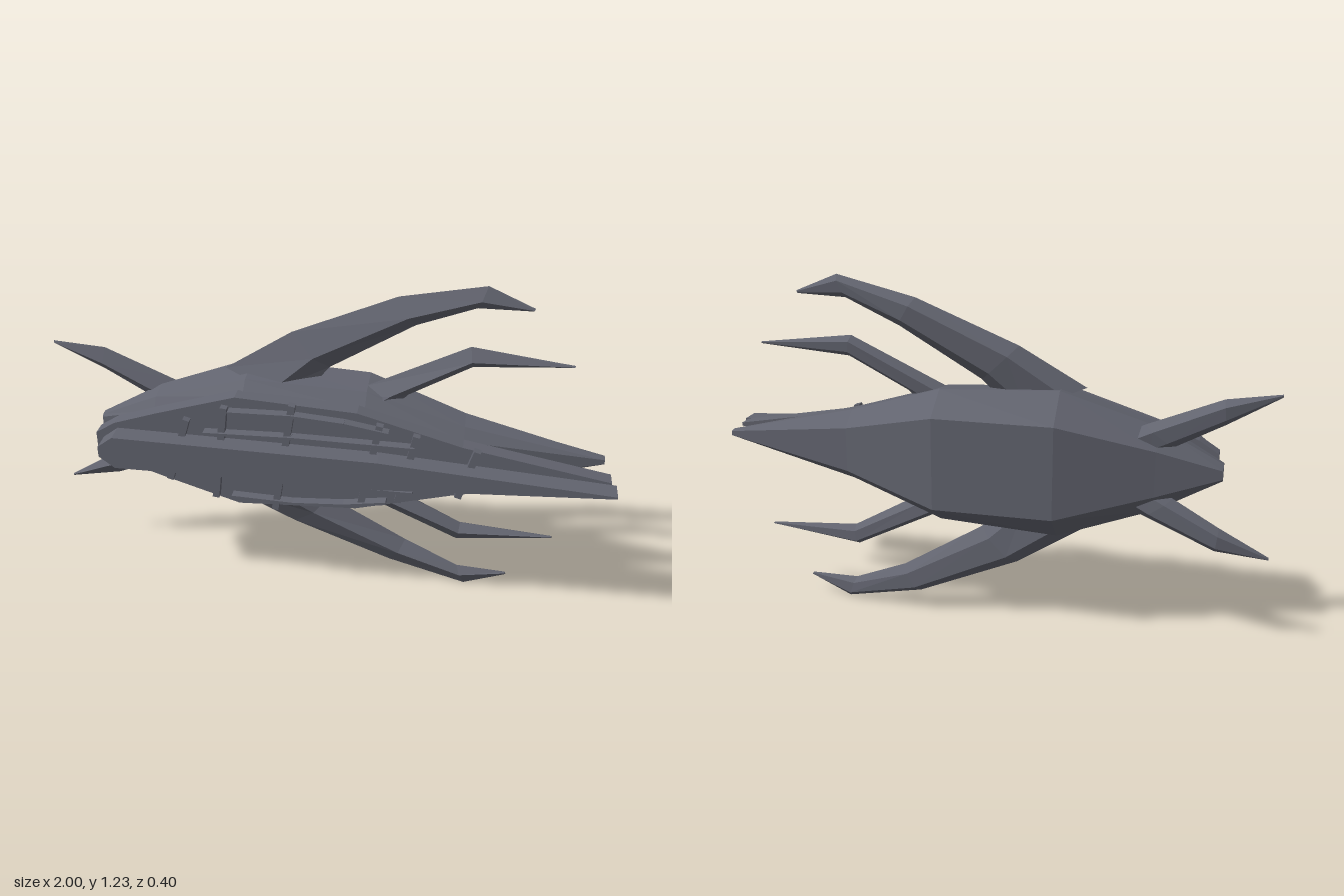
import * as THREE from 'three';

const CY = 0.6125; // height of the long axis

// Flat-shaded loft through closed loops of [x, y, z], capped at both ends
function loft(loops) {
  const tris = [];
  const n = loops[0].length;
  for (let i = 0; i < loops.length - 1; i++) {
    for (let j = 0; j < n; j++) {
      const k = (j + 1) % n;
      const a = loops[i][j], b = loops[i][k], c = loops[i + 1][k], d = loops[i + 1][j];
      tris.push([a, b, c], [a, c, d]);
    }
  }
  const first = loops[0], last = loops[loops.length - 1];
  for (let j = 1; j < n - 1; j++) {
    tris.push([first[0], first[j + 1], first[j]], [last[0], last[j], last[j + 1]]);
  }
  // turn all faces outwards if the enclosed volume is negative
  const o = new THREE.Vector3(...first[0]);
  const v = (p) => new THREE.Vector3(...p).sub(o);
  let volume = 0;
  for (const [a, b, c] of tris) volume += v(a).dot(v(b).cross(v(c)));
  if (volume < 0) tris.forEach((t) => t.reverse());
  const geo = new THREE.BufferGeometry();
  geo.setAttribute('position', new THREE.Float32BufferAttribute(tris.flat(2), 3));
  geo.computeVertexNormals();
  return geo;
}

// Hull: x, back z, back half height, widest z, widest half height, front z, front half height
const HULL = [
  [-0.83, -0.06, 0.015, -0.03, 0.03, 0.0, 0.02],
  [-0.61, -0.11, 0.08, -0.05, 0.15, 0.06, 0.1],
  [-0.28, -0.195, 0.165, -0.09, 0.262, 0.09, 0.205],
  [0.14, -0.2, 0.165, -0.09, 0.24, 0.07, 0.18],
  [0.48, -0.12, 0.08, -0.05, 0.13, 0.06, 0.08],
  [0.965, -0.045, 0.008, -0.03, 0.012, -0.015, 0.008],
];

function hullGeometry() {
  return loft(HULL.map(([x, zb, hb, zm, hw, zf, hf]) => {
    const half = [[zb, hb], [zm, hw], [zm + (zf - zm) * 0.72, hw * 0.94], [zf, hf]];
    const upper = half.map(([z, h]) => [x, CY + h, z]);
    const lower = half.map(([z, h]) => [x, CY - h, z]).reverse();
    return [...upper, ...lower];
  }));
}

// Fins: outer x, y, inner x, y, front z, back z
const FINS = {
  longFin: [
    [-0.36, 0.87, -0.08, 0.79, 0.045, -0.07],
    [-0.13, 1.01, 0.0, 0.885, 0.0, -0.09],
    [0.23, 1.16, 0.29, 1.06, -0.02, -0.1],
    [0.52, 1.225, 0.49, 1.145, -0.02, -0.065],
    [0.675, 1.16, 0.67, 1.15, -0.03, -0.04],
  ],
  shortFin: [
    [0.05, 0.8, 0.22, 0.76, 0.04, -0.05],
    [0.13, 0.84, 0.28, 0.82, 0.03, -0.055],
    [0.48, 1.01, 0.49, 0.935, 0.0, -0.06],
    [0.825, 0.967, 0.822, 0.96, -0.025, -0.035],
  ],
  tailFin: [
    [-0.5, 0.74, -0.62, 0.68, -0.03, -0.1],
    [-0.57, 0.775, -0.67, 0.705, -0.035, -0.105],
    [-0.82, 0.88, -0.83, 0.795, -0.045, -0.105],
    [-1.0, 0.903, -1.0, 0.893, -0.05, -0.06],
  ],
};

function finGeometry(stations, side) {
  return loft(stations.map(([ox, oy, ix, iy, zf, zb]) => {
    const at = (t, s) => {
      const y = oy + (iy - oy) * t;
      return [ox + (ix - ox) * t, CY + side * (y - CY), zb + (zf - zb) * s];
    };
    return [at(0, 0.5), at(0.6, 1), at(1, 0.5), at(0.75, 0.05), at(0.25, 0)];
  }));
}

// Flat plate, mirrored about the long axis, from [x, half height] points
function plateGeometry(outline, z0, z1) {
  const pts = [
    ...outline.map(([x, h]) => new THREE.Vector2(x, CY - h)),
    ...outline.map(([x, h]) => new THREE.Vector2(x, CY + h)).reverse(),
  ];
  const geo = new THREE.ExtrudeGeometry(new THREE.Shape(pts), { depth: z1 - z0, bevelEnabled: false });
  return geo.translate(0, 0, z0);
}

// Straight bar between two points in the xy plane
function barGeometry([x0, y0], [x1, y1], width, z0, z1) {
  const geo = new THREE.BoxGeometry(Math.hypot(x1 - x0, y1 - y0), width, z1 - z0);
  geo.rotateZ(Math.atan2(y1 - y0, x1 - x0));
  return geo.translate((x0 + x1) / 2, (y0 + y1) / 2, (z0 + z1) / 2);
}

export function createModel() {
  const model = new THREE.Group();
  const slate = new THREE.MeshStandardMaterial({ color: 0x62646f, flatShading: true });
  slate.name = 'slateGrey';
  const add = (name, geo) => {
    const mesh = new THREE.Mesh(geo, slate);
    mesh.name = name;
    model.add(mesh);
  };

  add('hull', hullGeometry());

  // three pairs of swept fins
  for (const [name, stations] of Object.entries(FINS)) {
    add(name + 'Upper', finGeometry(stations, 1));
    add(name + 'Lower', finGeometry(stations, -1));
  }

  // broad deck plate, then the narrow keel in front of it
  add('deckPlate', plateGeometry([
    [-0.81, 0.03], [-0.74, 0.075], [-0.58, 0.13], [-0.3, 0.218],
    [0.12, 0.195], [0.48, 0.095], [0.98, 0.006],
  ], 0.068, 0.122));
  add('keelPlate', plateGeometry([
    [-0.78, 0.02], [-0.725, 0.062], [0.2, 0.054], [0.995, 0.004],
  ], 0.13, 0.2));

  // slanted cross ribs: lower x, upper x, half height
  const ribs = [[-0.545, -0.47, 0.125], [-0.38, -0.335, 0.185], [-0.165, -0.098, 0.215],
    [0.14, 0.2, 0.165], [0.27, 0.325, 0.135], [0.475, 0.53, 0.095]];
  for (const [x0, x1, h] of ribs) {
    add('rib', barGeometry([x0, CY - h], [x1, CY + h], 0.024, 0.12, 0.147));
  }

  // lengthwise stringers on both sides of the keel
  const stringers = [
    [[-0.41, 0.082], [-0.1, 0.092], [0.32, 0.09]],
    [[-0.32, 0.172], [-0.1, 0.178], [0.08, 0.165], [0.23, 0.14]],
  ];
  for (const side of [1, -1]) {
    for (const path of stringers) {
      for (let i = 0; i < path.length - 1; i++) {
        const [a, b] = [path[i], path[i + 1]].map(([x, h]) => [x, CY + side * h]);
        add('stringer', barGeometry(a, b, 0.01, 0.122, 0.155));
      }
    }
  }
  return model;
}
